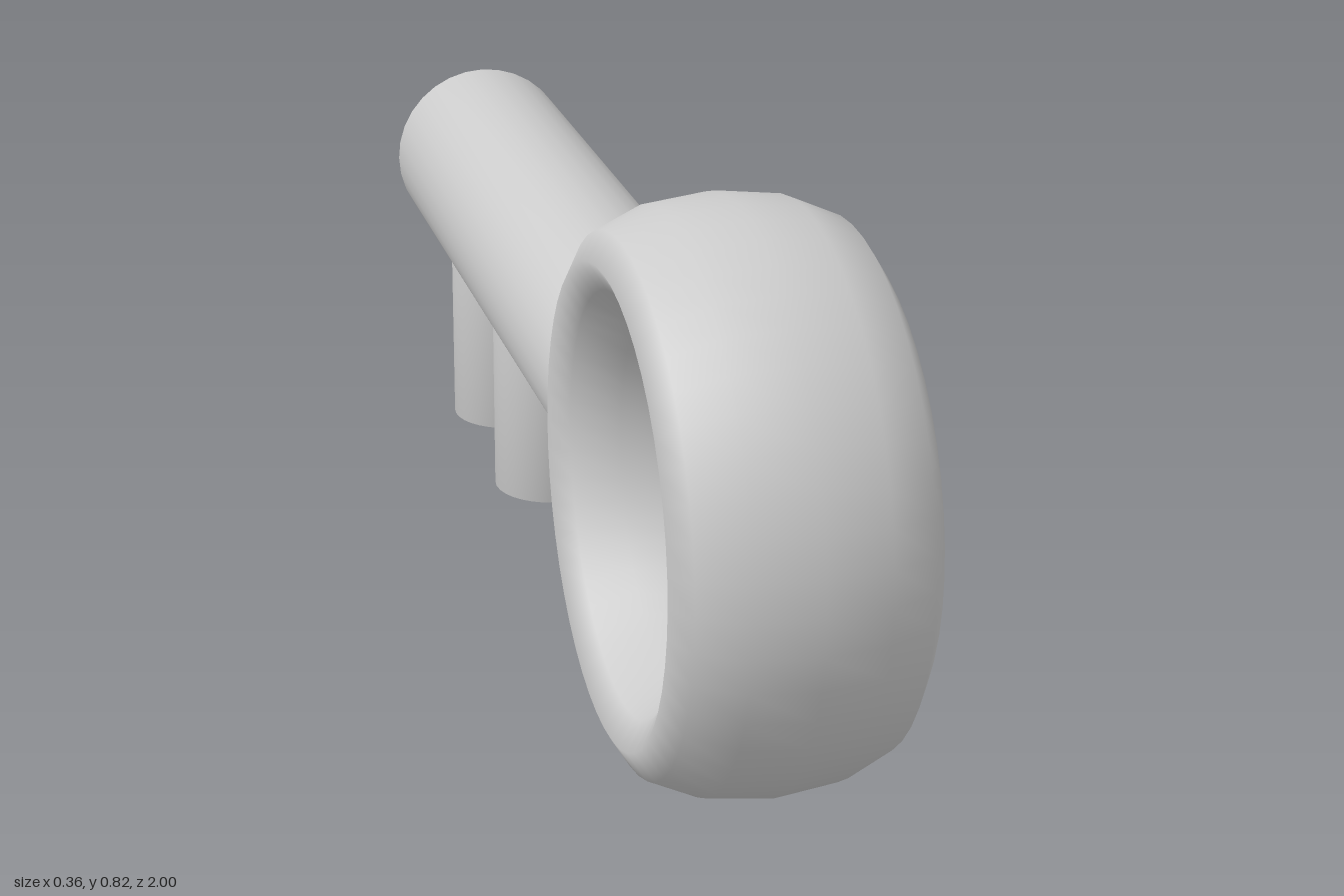
import * as THREE from 'three';
import { mergeVertices } from 'three/addons/utils/BufferGeometryUtils.js';

const material = new THREE.MeshStandardMaterial({ color: 0xcccccc });

// Weld a geometry so its normals run smoothly across every edge
function smooth(geometry) {
  geometry.deleteAttribute('normal');
  geometry.deleteAttribute('uv');
  const welded = mergeVertices(geometry, 1e-4);
  welded.computeVertexNormals();
  return welded;
}

function addPart(group, name, geometry) {
  const mesh = new THREE.Mesh(smooth(geometry), material);
  mesh.name = name;
  group.add(mesh);
}

export function createModel() {
  const group = new THREE.Group();
  group.name = 'key';
  const axisY = 0.42;

  // Ring handle: a torus facing sideways, its section stretched in width
  const ring = new THREE.TorusGeometry(0.323, 0.079, 12, 48);
  ring.scale(1, 1, 0.178 / 0.079).rotateY(Math.PI / 2).translate(0, axisY, 0.598);
  addPart(group, 'ringHandle', ring);

  // Shaft: runs from inside the ring wall to the back end
  const front = 0.28, back = -1;
  const shaft = new THREE.CylinderGeometry(0.152, 0.152, front - back, 32);
  shaft.rotateX(Math.PI / 2).translate(0, axisY, (front + back) / 2);
  addPart(group, 'shaft', shaft);

  // Two round teeth hanging below the shaft
  const toothHeight = 0.4;
  [-0.473, -0.812].forEach((z, i) => {
    const tooth = new THREE.CylinderGeometry(0.095, 0.095, toothHeight, 32);
    tooth.translate(0, toothHeight / 2, z);
    addPart(group, i === 0 ? 'innerTooth' : 'outerTooth', tooth);
  });

  return group;
}
